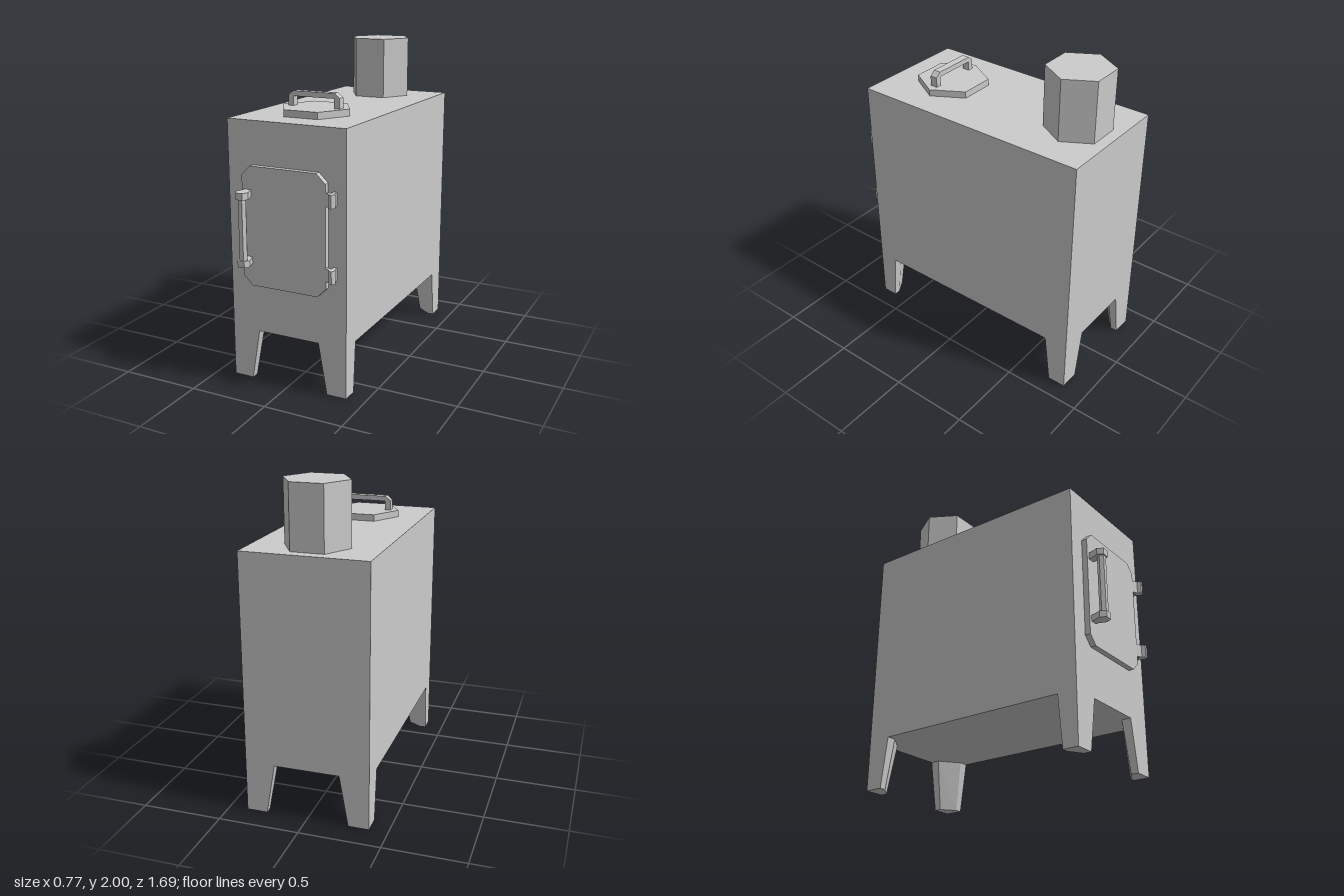
import * as THREE from 'three';

const material = new THREE.MeshStandardMaterial({ color: 0xcccccc, flatShading: true });

// Upright prism: an outline of [x, z] points raised from y0 to y1
function slab(points, y0, y1) {
  const shape = new THREE.Shape(points.map(([x, z]) => new THREE.Vector2(x, -z)));
  return new THREE.ExtrudeGeometry(shape, { depth: y1 - y0, bevelEnabled: false })
    .rotateX(-Math.PI / 2)
    .translate(0, y0, 0);
}

// Front-facing plate: an outline of [x, y] points pushed from z0 to z1
function plate(points, z0, z1) {
  const shape = new THREE.Shape(points.map(([x, y]) => new THREE.Vector2(x, y)));
  return new THREE.ExtrudeGeometry(shape, { depth: z1 - z0, bevelEnabled: false })
    .translate(0, 0, z0);
}

// Hexagonal prism with corners on the x axis
function hexPrism(radius, x, z, y0, y1) {
  return new THREE.CylinderGeometry(radius, radius, y1 - y0, 6)
    .rotateY(Math.PI / 2)
    .rotateY(Math.PI)
    .rotateY(0)
    .translate(x, (y0 + y1) / 2, z);
}

// Corner leg with its inner edge cut off, tapering towards the outer corner
function legGeometry(cx, cz, width, depth, footX, footZ) {
  const sx = -Math.sign(cx), sz = -Math.sign(cz);
  const outline = [[0, 0], [width, 0], [width, 0.06], [0.06, depth], [0, depth]];
  const geometry = slab(outline.map(([x, z]) => [cx + sx * x, cz + sz * z]), 0, 0.32);
  const p = geometry.attributes.position;
  for (let i = 0; i < p.count; i++) {
    if (p.getY(i) > 0.1) continue;
    p.setX(i, cx + (p.getX(i) - cx) * footX / width);
    p.setZ(i, cz + (p.getZ(i) - cz) * footZ / depth);
  }
  geometry.computeVertexNormals();
  return geometry;
}

export function createModel() {
  const group = new THREE.Group();
  const add = (name, geometry) => {
    const mesh = new THREE.Mesh(geometry, material);
    mesh.name = name;
    group.add(mesh);
  };

  // Firebox
  add('body', new THREE.BoxGeometry(0.77, 1.295, 1.555).translate(0, 0.9675, -0.0675));

  // Legs
  for (const [side, s] of [['left', 1], ['right', -1]]) {
    add(side + 'FrontLeg', legGeometry(s * 0.385, 0.71, 0.183, 0.125, 0.128, 0.1));
    add(side + 'BackLeg', legGeometry(s * 0.385, -0.845, 0.183, 0.155, 0.128, 0.115));
  }

  // Chimney and cooking lid
  add('chimney', hexPrism(0.202, 0, -0.6, 1.615, 2));
  add('lid', hexPrism(0.224, 0, 0.335, 1.615, 1.657));

  // Arched lid handle
  add('lidHandle', plate([
    [-0.172, 1.657], [-0.172, 1.72], [-0.138, 1.747], [0.138, 1.747], [0.172, 1.72], [0.172, 1.657],
    [0.136, 1.657], [0.136, 1.715], [-0.136, 1.715], [-0.136, 1.657],
  ], 0.32, 0.368));

  // Door with clipped corners
  add('door', plate([
    [-0.275, 0.68], [-0.22, 0.625], [0.215, 0.625], [0.272, 0.68],
    [0.272, 1.3], [0.215, 1.355], [-0.22, 1.355], [-0.275, 1.3],
  ], 0.71, 0.745));

  // Door handle: two brackets joined by an upright bar
  const bracket = [
    [-0.255, 0.745], [-0.215, 0.745], [-0.205, 0.775], [-0.192, 0.81],
    [-0.21, 0.845], [-0.255, 0.845], [-0.275, 0.81], [-0.262, 0.775],
  ];
  add('lowerHandleBracket', slab(bracket, 0.765, 0.805));
  add('upperHandleBracket', slab(bracket, 1.172, 1.214));
  add('handleBar', hexPrism(0.026, -0.232, 0.815, 0.805, 1.172));

  // Hinges: knuckle, stem to the body and arm to the door
  const hinge = [
    [0.265, 0.728], [0.305, 0.742], [0.305, 0.71], [0.325, 0.71], [0.325, 0.735],
    [0.341, 0.757], [0.327, 0.784], [0.308, 0.784], [0.298, 0.762], [0.265, 0.745],
  ];
  add('lowerHinge', slab(hinge, 0.73, 0.81));
  add('upperHinge', slab(hinge, 1.173, 1.253));

  return group;
}
